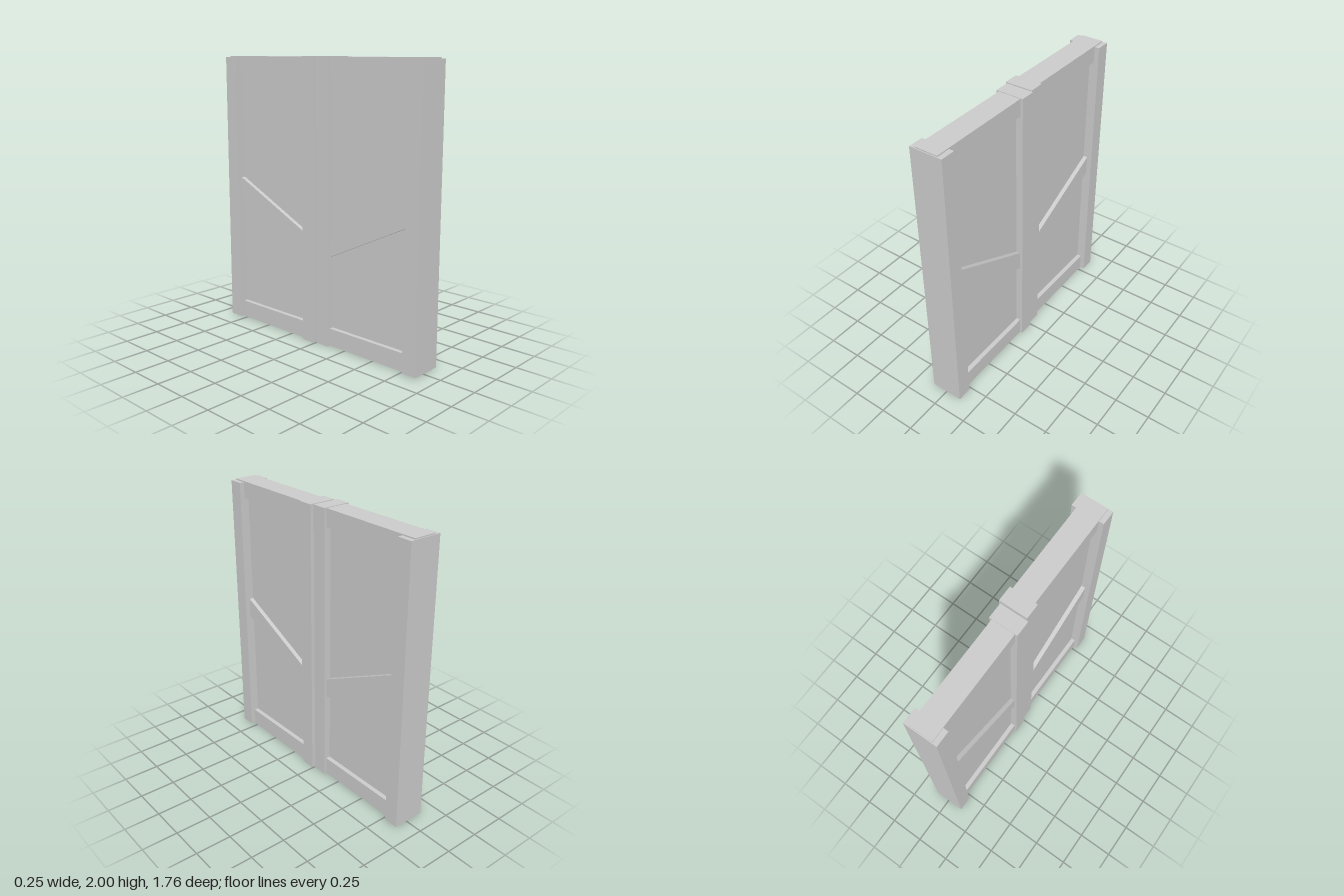
import * as THREE from 'three';

const material = new THREE.MeshStandardMaterial({ color: 0xcccccc, flatShading: true });

// Box given by half thickness in x and its y and z ranges
function slab(name, halfX, y0, y1, z0, z1) {
  const mesh = new THREE.Mesh(new THREE.BoxGeometry(halfX * 2, y1 - y0, z1 - z0), material);
  mesh.position.set(0, (y0 + y1) / 2, (z0 + z1) / 2);
  mesh.name = name;
  return mesh;
}

// Slanted brace: a parallelogram in the z-y plane, extruded through the leaf
function brace(halfX) {
  const shape = new THREE.Shape([[-0.11, 0.645], [-0.11, 0.785], [-0.78, 1.105], [-0.78, 0.965]]
    .map(([x, y]) => new THREE.Vector2(x, y)));
  const geometry = new THREE.ExtrudeGeometry(shape, { depth: halfX * 2, bevelEnabled: false });
  geometry.translate(0, 0, -halfX);
  geometry.rotateY(Math.PI / 2);
  const mesh = new THREE.Mesh(geometry, material);
  mesh.name = 'diagonalBrace';
  return mesh;
}

// One door leaf, running from the meeting edge out along +z
function doorLeaf(name) {
  const leaf = new THREE.Group();
  leaf.name = name;
  leaf.add(
    slab('outerPost', 0.115, 0.012, 1.988, 0.775, 0.88),
    slab('meetingPost', 0.098, 0, 2, 0.006, 0.113),
    slab('topRail', 0.08, 1.875, 1.996, 0.1, 0.874),
    slab('bottomRail', 0.08, 0.004, 0.13, 0.1, 0.874),
    slab('panel', 0.048, 0.1, 1.9, 0.1, 0.79),
    brace(0.079),
  );
  return leaf;
}

export function createModel() {
  const model = new THREE.Group();
  model.name = 'doubleDoor';
  // The second leaf is the first turned half round, set slightly off line
  ['frontLeaf', 'backLeaf'].forEach((name, i) => {
    const leaf = doorLeaf(name);
    leaf.rotation.y = i * Math.PI;
    leaf.position.x = i ? -0.0085 : 0.0085;
    model.add(leaf);
  });
  return model;
}
